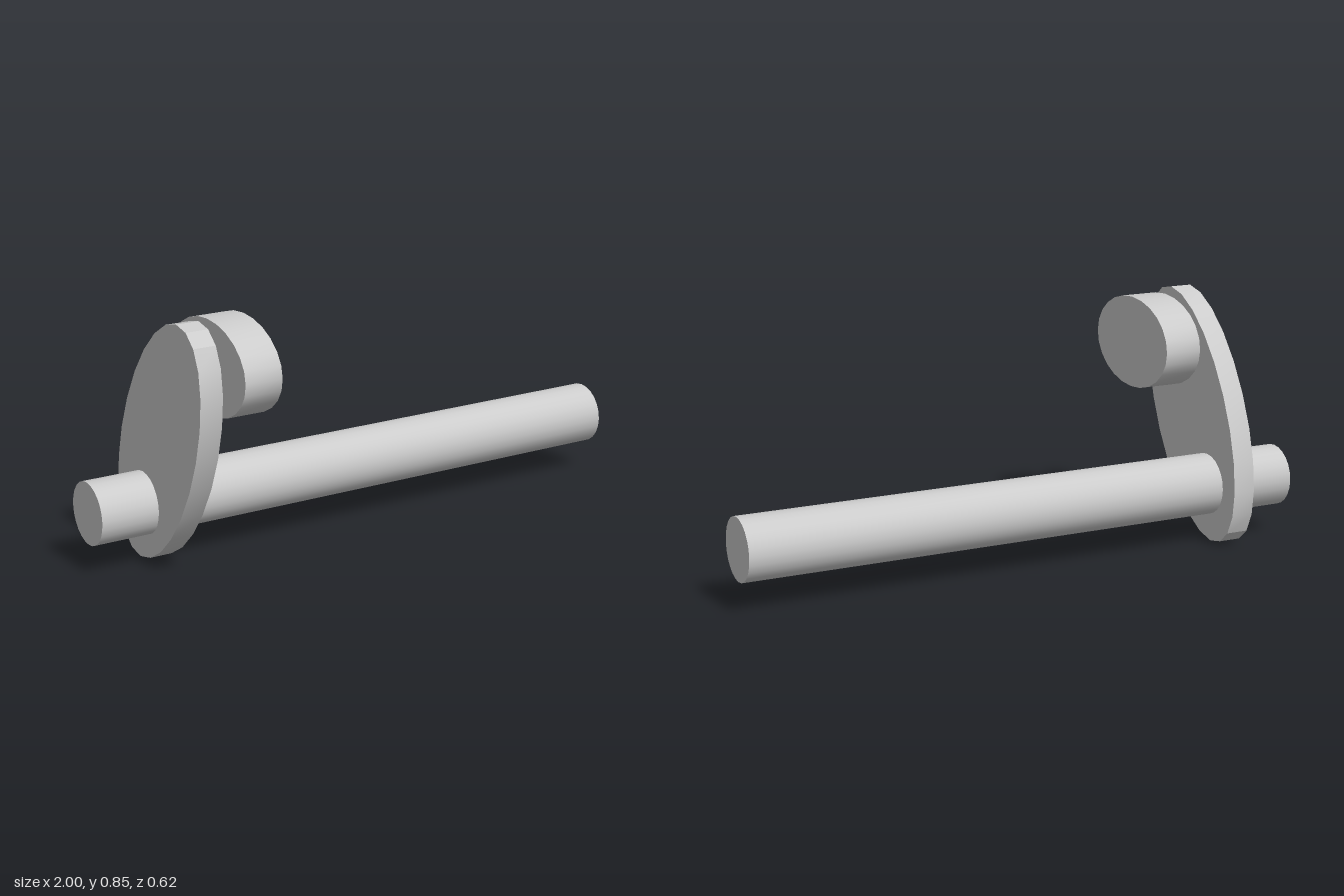
import * as THREE from 'three';
import { toCreasedNormals } from 'three/addons/utils/BufferGeometryUtils.js';

const SIDES = 24;
const material = new THREE.MeshStandardMaterial({ color: 0xcccccc });

// Elliptical prism along x. centre, a and b are [z, y] pairs;
// a and b are the two half-axes (conjugate, so they may be skewed).
function prism(name, x0, x1, centre, a, b, creaseDegrees) {
  const points = [];
  for (let i = 0; i < SIDES; i++) {
    const t = (i / SIDES) * Math.PI * 2;
    const c = Math.cos(t), s = Math.sin(t);
    points.push(new THREE.Vector2(
      centre[0] + a[0] * c + b[0] * s,
      centre[1] + a[1] * c + b[1] * s
    ));
  }
  const geometry = new THREE.ExtrudeGeometry(new THREE.Shape(points), {
    depth: x1 - x0, bevelEnabled: false, steps: 1
  });
  geometry.rotateY(-Math.PI / 2); // shape x becomes z, depth runs towards -x
  geometry.translate(x1, 0, 0);
  const mesh = new THREE.Mesh(
    toCreasedNormals(geometry, THREE.MathUtils.degToRad(creaseDegrees)), material);
  mesh.name = name;
  return mesh;
}

export function createModel() {
  const group = new THREE.Group();
  group.name = 'crank';

  // Long round shaft
  group.add(prism('shaft', -1, 1, [-0.13, 0.2], [0.106, 0], [0, 0.106], 40));

  // Thin leaning oval plate, faceted at its tight ends
  group.add(prism('crankPlate', -0.8, -0.722, [-0.018, 0.427],
    [-0.147, -0.425], [-0.252, -0.007], 20));

  // Short oval pin, floating just clear of the plate
  group.add(prism('crankPin', -0.664, -0.533, [0.075, 0.682],
    [0.237, 0], [0, 0.158], 40));

  return group;
}
